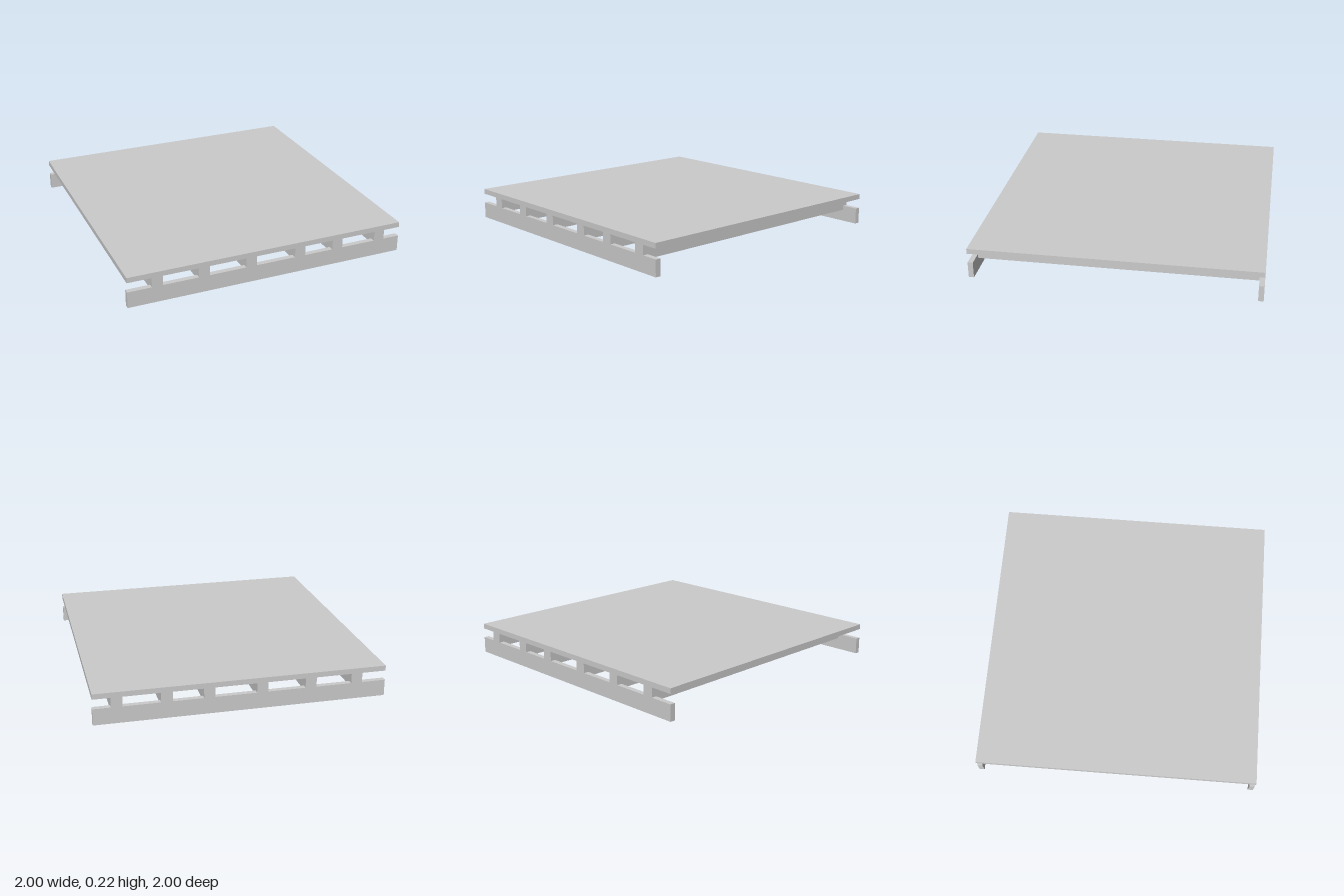
import * as THREE from 'three';

const material = new THREE.MeshStandardMaterial({ color: 0xcccccc, flatShading: true });

const railTop = 0.115, railDepth = 0.037;
const joistBottom = 0.084, joistTop = 0.183, joistWidth = 0.077;
const deckTop = 0.22;

// Box spanning the full width, between two heights
function slab(name, y0, y1, depth, z) {
  const mesh = new THREE.Mesh(new THREE.BoxGeometry(2, y1 - y0, depth), material);
  mesh.name = name;
  mesh.position.set(0, (y0 + y1) / 2, z);
  return mesh;
}

// Side profile of a joist, notched at both ends to sit over the rails
function joistGeometry() {
  const inner = 1 - railDepth;
  const profile = new THREE.Shape([
    [-inner, joistBottom], [inner, joistBottom], [inner, railTop], [1, railTop],
    [1, joistTop], [-1, joistTop], [-1, railTop], [-inner, railTop],
  ].map(([z, y]) => new THREE.Vector2(z, y)));
  return new THREE.ExtrudeGeometry(profile, { depth: joistWidth, bevelEnabled: false })
    .translate(0, 0, -joistWidth / 2)
    .rotateY(-Math.PI / 2);
}

export function createModel() {
  const model = new THREE.Group();
  model.name = 'platform';

  // Top panel
  model.add(slab('deck', joistTop, deckTop, 2, 0));

  // Rails along the front and back edges
  model.add(slab('frontRail', 0, railTop, railDepth, 1 - railDepth / 2));
  model.add(slab('backRail', 0, railTop, railDepth, -1 + railDepth / 2));

  // Unevenly spaced joists running front to back
  const geometry = joistGeometry();
  [-0.795, -0.47, -0.133, 0.227, 0.513, 0.842].forEach((x, i) => {
    const joist = new THREE.Mesh(geometry, material);
    joist.name = `joist${i + 1}`;
    joist.position.x = x;
    model.add(joist);
  });

  return model;
}
